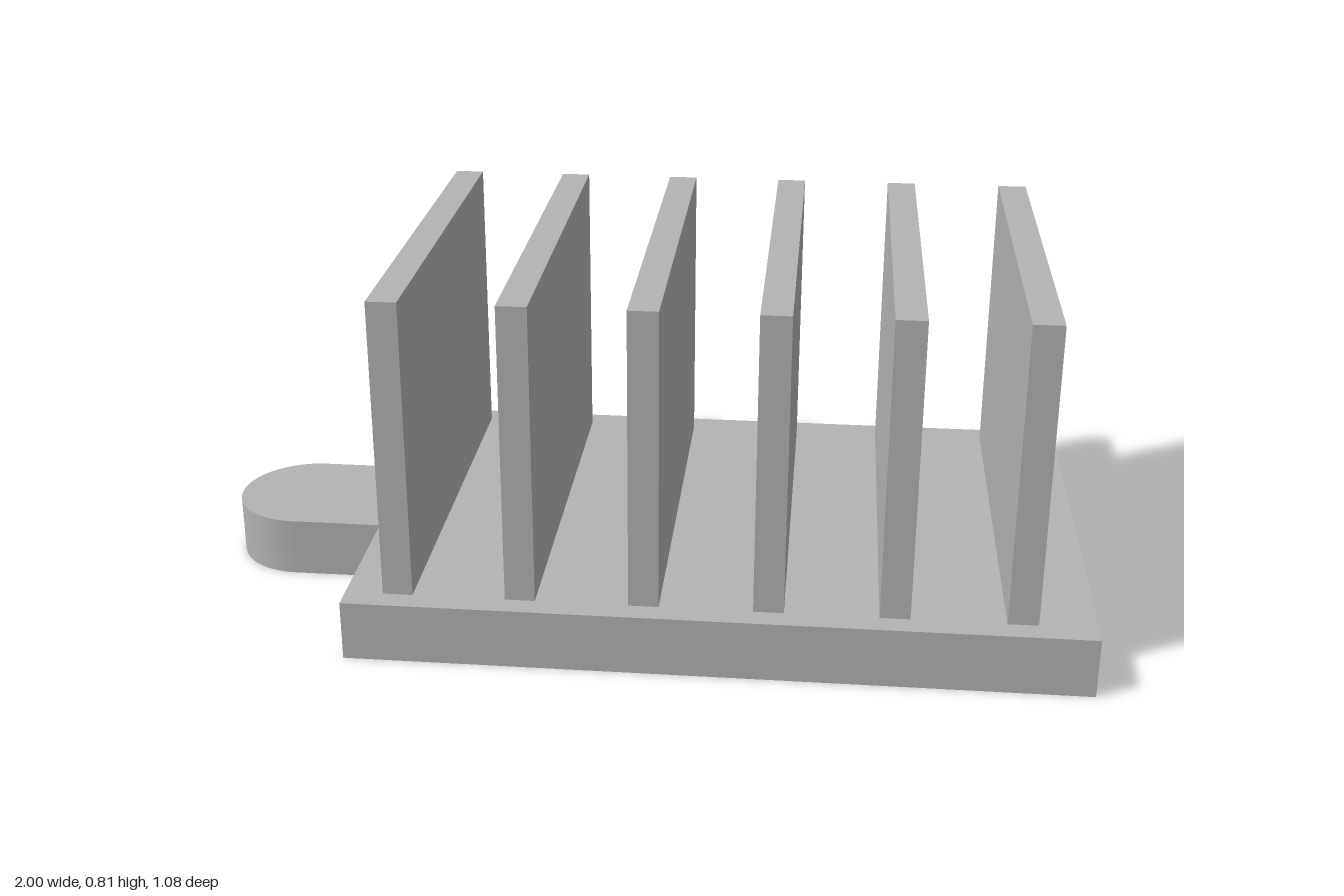
import * as THREE from 'three';
import { toCreasedNormals } from 'three/addons/utils/BufferGeometryUtils.js';

const BASE_HEIGHT = 0.136;
const BASE_HALF_DEPTH = 0.54;
const BASE_LEFT = -0.625;
const TAB_RADIUS = 0.163;
const FIN = { count: 6, first: -0.508, spacing: 0.27, width: 0.066, top: 0.814, depth: 0.976 };

export function createModel() {
  const group = new THREE.Group();
  group.name = 'heatSink';

  const metal = new THREE.MeshStandardMaterial({ color: 0xb3b3b3 });
  metal.name = 'grey metal';

  // Base plate with a round-ended mounting tab, drawn flat and raised
  const outline = new THREE.Shape();
  outline.moveTo(1, -BASE_HALF_DEPTH);
  outline.lineTo(1, BASE_HALF_DEPTH);
  outline.lineTo(BASE_LEFT, BASE_HALF_DEPTH);
  outline.lineTo(BASE_LEFT, TAB_RADIUS);
  outline.absarc(-1 + TAB_RADIUS, 0, TAB_RADIUS, Math.PI / 2, Math.PI * 1.5, false);
  outline.lineTo(BASE_LEFT, -TAB_RADIUS);
  outline.lineTo(BASE_LEFT, -BASE_HALF_DEPTH);
  outline.closePath();
  const baseGeometry = new THREE.ExtrudeGeometry(outline, {
    depth: BASE_HEIGHT, bevelEnabled: false, curveSegments: 24,
  });
  baseGeometry.rotateX(-Math.PI / 2);
  const base = new THREE.Mesh(toCreasedNormals(baseGeometry, Math.PI / 6), metal);
  base.name = 'basePlate';
  group.add(base);

  // Row of upright cooling fins
  const finHeight = FIN.top - BASE_HEIGHT;
  const finGeometry = new THREE.BoxGeometry(FIN.width, finHeight, FIN.depth);
  for (let i = 0; i < FIN.count; i++) {
    const fin = new THREE.Mesh(finGeometry, metal);
    fin.name = `fin${i + 1}`;
    fin.position.set(FIN.first + i * FIN.spacing, BASE_HEIGHT + finHeight / 2, 0);
    group.add(fin);
  }

  return group;
}
